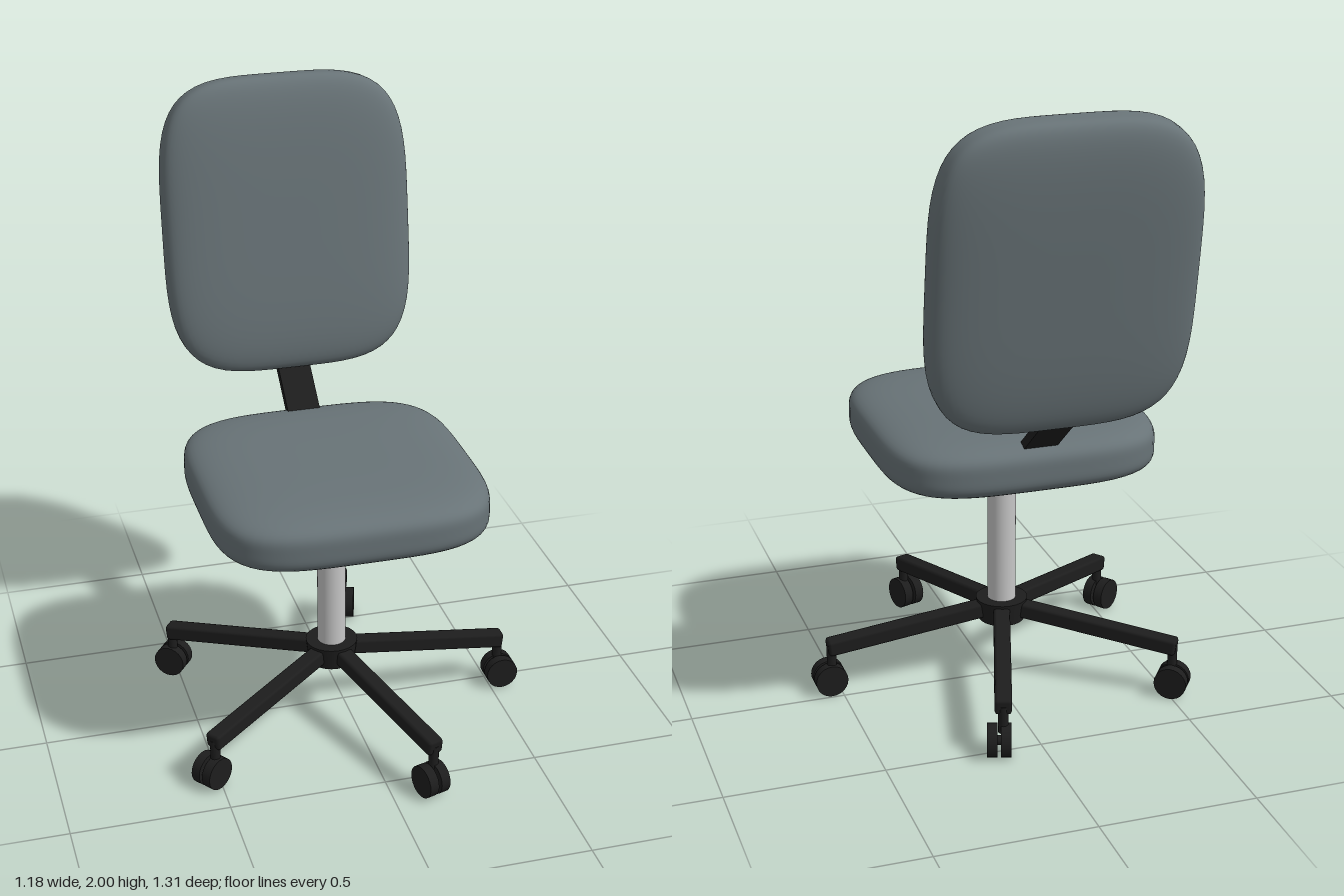
import * as THREE from 'three';
import { RoundedBoxGeometry } from 'three/addons/geometries/RoundedBoxGeometry.js';

const CX = -0.048, CZ = 0.03; // column axis

// Pillow shape: a box inflated to a fourth-power superellipsoid with half sizes a, b, c
function cushionGeometry(a, b, c) {
  const geo = new THREE.BoxGeometry(2, 2, 2, 20, 20, 20);
  const pos = geo.attributes.position, nor = geo.attributes.normal;
  const v = new THREE.Vector3();
  for (let i = 0; i < pos.count; i++) {
    v.fromBufferAttribute(pos, i);
    v.divideScalar((v.x ** 4 + v.y ** 4 + v.z ** 4) ** 0.25);
    pos.setXYZ(i, v.x * a, v.y * b, v.z * c);
    v.set(v.x ** 3 / a, v.y ** 3 / b, v.z ** 3 / c).normalize();
    nor.setXYZ(i, v.x, v.y, v.z);
  }
  return geo;
}

// Flat plate with rounded corners and a bevelled rim, lying in the xz plane
function plateGeometry(w, d, h, r) {
  const bevel = 0.012, x = w / 2 - bevel, y = d / 2 - bevel;
  const s = new THREE.Shape();
  s.moveTo(-x + r, -y);
  s.lineTo(x - r, -y).quadraticCurveTo(x, -y, x, -y + r);
  s.lineTo(x, y - r).quadraticCurveTo(x, y, x - r, y);
  s.lineTo(-x + r, y).quadraticCurveTo(-x, y, -x, y - r);
  s.lineTo(-x, -y + r).quadraticCurveTo(-x, -y, -x + r, -y);
  const geo = new THREE.ExtrudeGeometry(s, {
    depth: h - 2 * bevel, bevelSize: bevel, bevelThickness: bevel, bevelSegments: 2, curveSegments: 8,
  });
  return geo.translate(0, 0, bevel - h / 2).rotateX(-Math.PI / 2);
}

export function createModel() {
  const fabric = new THREE.MeshStandardMaterial({ color: 0x687377 });
  fabric.name = 'greyFabric';
  const black = new THREE.MeshStandardMaterial({ color: 0x1d1d1d });
  black.name = 'blackPlastic';
  const steel = new THREE.MeshStandardMaterial({ color: 0xc6c6c6 });
  steel.name = 'lightSteel';

  const chair = new THREE.Group();
  chair.name = 'officeChair';
  const add = (parent, name, geo, mat, x, y, z) => {
    const mesh = new THREE.Mesh(geo, mat);
    mesh.name = name;
    mesh.position.set(x, y, z);
    parent.add(mesh);
    return mesh;
  };

  // Cushions
  add(chair, 'seat', cushionGeometry(0.442, 0.098, 0.442), fabric, CX, 0.857, 0.063);
  const back = add(chair, 'backrest', cushionGeometry(0.407, 0.484, 0.085), fabric, CX, 1.518, -0.522);
  back.rotation.x = -0.154;

  // Slanted bar joining seat and backrest
  const bar = add(chair, 'backBar', new THREE.BoxGeometry(0.108, 0.03, 0.33), black, CX, 0.976, -0.378);
  bar.rotation.x = 0.69;

  // Plate under the seat and the column
  add(chair, 'seatPlate', plateGeometry(0.39, 0.42, 0.08, 0.07), black, CX, 0.75, CZ);
  add(chair, 'column', new THREE.CylinderGeometry(0.046, 0.046, 0.5, 32), steel, CX, 0.48, CZ);

  // Star base: hub with five arms, each ending in a twin-wheel caster
  const base = new THREE.Group();
  base.name = 'starBase';
  base.position.set(CX, 0, CZ);
  chair.add(base);
  add(base, 'hub', new THREE.CylinderGeometry(0.085, 0.075, 0.075, 24), black, 0, 0.225, 0);

  const armGeo = new RoundedBoxGeometry(0.57, 0.052, 0.054, 1, 0.01);
  const stemGeo = new THREE.CylinderGeometry(0.016, 0.016, 0.09, 12);
  const wheelGeo = new THREE.CylinderGeometry(0.053, 0.053, 0.032, 24).rotateX(Math.PI / 2);
  const axleGeo = new THREE.CylinderGeometry(0.015, 0.015, 0.05, 12).rotateX(Math.PI / 2);
  for (let i = 0; i < 5; i++) {
    const leg = new THREE.Group();
    leg.name = 'baseLeg' + (i + 1);
    leg.rotation.y = -i * Math.PI * 2 / 5;
    base.add(leg);
    add(leg, 'arm', armGeo, black, 0.31, 0.2, 0).rotation.z = -0.117;
    add(leg, 'casterStem', stemGeo, black, 0.58, 0.125, 0);
    add(leg, 'casterAxle', axleGeo, black, 0.585, 0.054, 0.0125);
    for (const z of [-0.009, 0.034]) add(leg, 'casterWheel', wheelGeo, black, 0.585, 0.054, z);
  }
  return chair;
}
